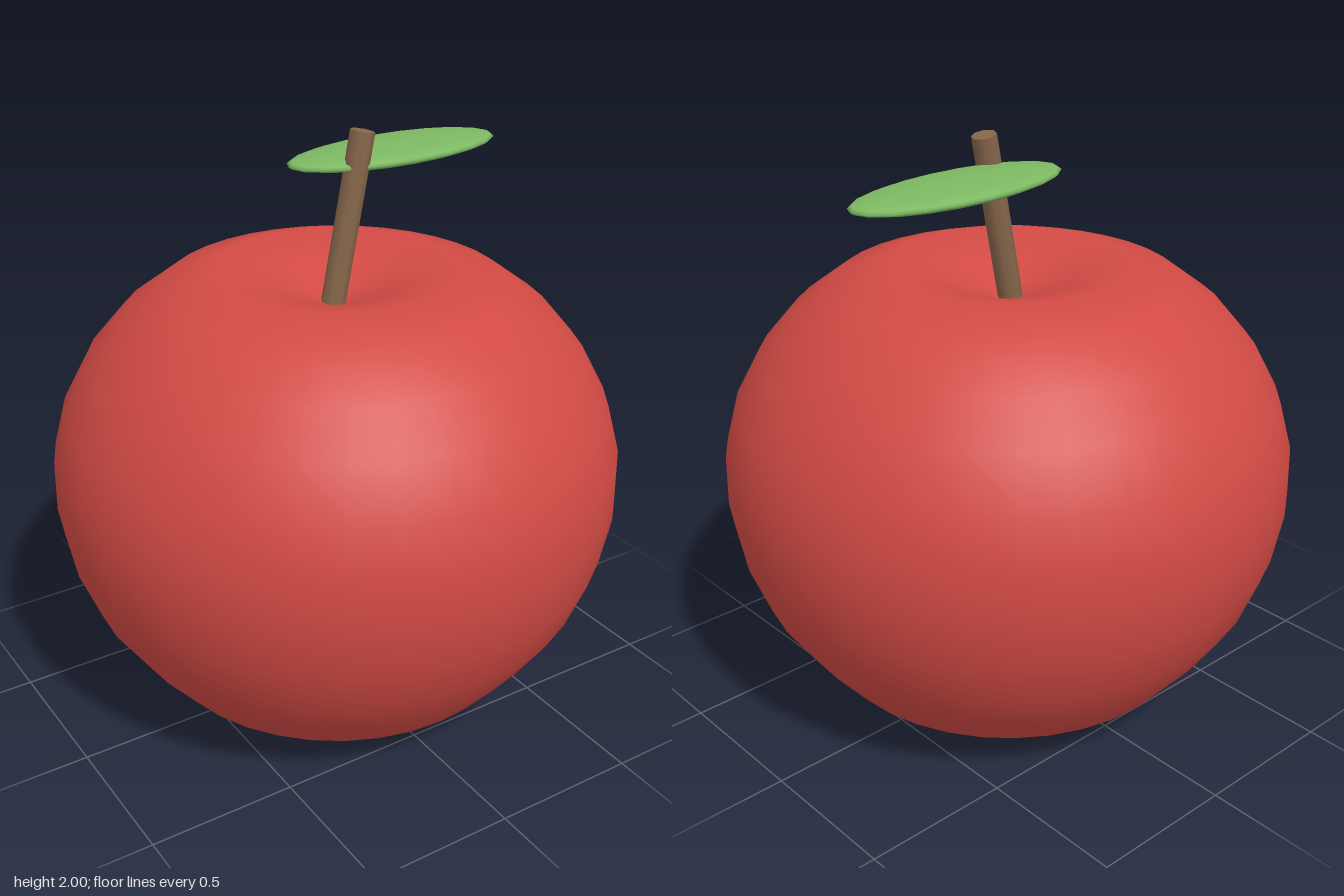
import * as THREE from 'three';

export function createModel() {
  const model = new THREE.Group();
  const red = new THREE.MeshStandardMaterial({ name: 'appleRed', color: 0xd24a44 });
  const brown = new THREE.MeshStandardMaterial({ name: 'stemBrown', color: 0x86664a });
  const green = new THREE.MeshStandardMaterial({ name: 'leafGreen', color: 0x7cb862 });

  const add = (name, geometry, material) => {
    const mesh = new THREE.Mesh(geometry, material);
    mesh.name = name;
    model.add(mesh);
    return mesh;
  };

  // Fruit: turned profile, bottom dimple to top dimple
  const profile = [
    [0, 0.12], [0.17, 0.05], [0.34, 0], [0.5, 0.048], [0.64, 0.148], [0.757, 0.288],
    [0.857, 0.436], [0.922, 0.603], [0.955, 0.777], [0.952, 0.95], [0.908, 1.112],
    [0.828, 1.262], [0.714, 1.397], [0.566, 1.508], [0.395, 1.562], [0.2, 1.505], [0, 1.425],
  ].map(([r, y]) => new THREE.Vector2(r, y));
  add('fruit', new THREE.LatheGeometry(profile, 36), red);

  // Stem: leaning cylinder rooted in the top dimple
  const foot = new THREE.Vector3(-0.02, 1.39, 0);
  const tip = new THREE.Vector3(0.1, 1.992, 0);
  const stem = add('stem', new THREE.CylinderGeometry(0.041, 0.041, foot.distanceTo(tip), 8), brown);
  stem.position.lerpVectors(foot, tip, 0.5);
  stem.rotation.z = -Math.atan2(tip.x - foot.x, tip.y - foot.y);

  // Leaf: flattened ellipsoid
  const leaf = add('leaf', new THREE.SphereGeometry(1, 20, 12), green);
  leaf.scale.set(0.4, 0.032, 0.155);
  leaf.position.set(0.288, 1.88, -0.1);

  return model;
}
